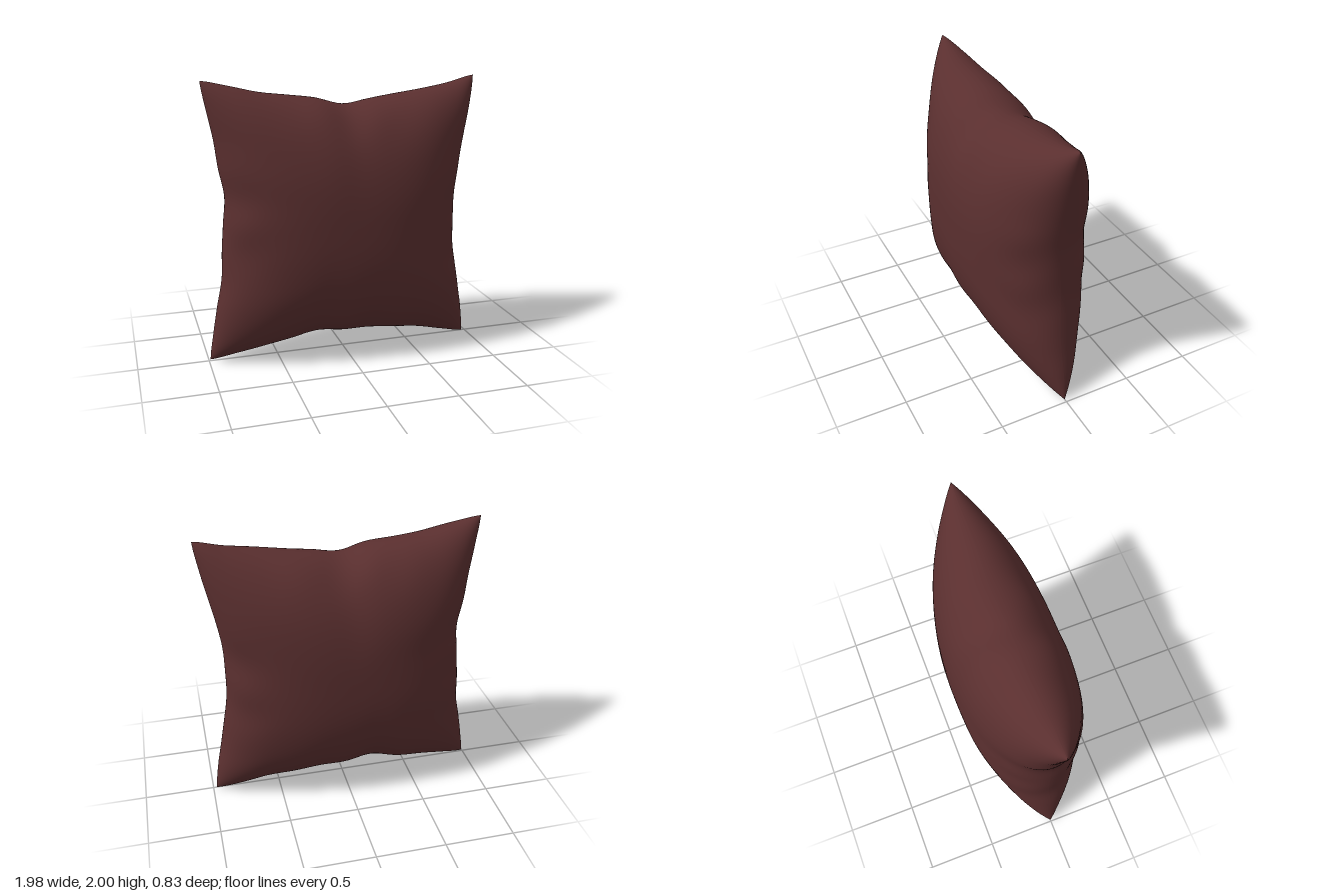
import * as THREE from 'three';

// Seam outline, sampled evenly along each edge (gathered inward mid-edge)
const edge = (vals) => {
  const c = new THREE.SplineCurve(vals.map((v, i) => new THREE.Vector2(i / (vals.length - 1), v)));
  return (t) => c.getPoint(t).y;
};
const topY = edge([1.995, 1.955, 1.91, 1.885, 1.86, 1.812, 1.84, 1.87, 1.9, 1.935, 1.985]);
const bottomY = edge([0.01, 0.05, 0.09, 0.125, 0.168, 0.15, 0.14, 0.12, 0.095, 0.045, 0]);
const leftX = edge([-0.99, -0.96, -0.925, -0.885, -0.875, -0.86, -0.845, -0.88, -0.905, -0.945, -0.98]);
const rightX = edge([0.975, 0.95, 0.91, 0.875, 0.845, 0.84, 0.845, 0.875, 0.915, 0.955, 0.985]);

// Rounded fall-off from the middle of the cushion to a seam
const swell = (u) => Math.sqrt(Math.max(0, 1 - Math.pow(Math.abs(u), 2.6)));

// Soft gathers that fan inward from the middle of each seam
function gather(across, along, phase) {
  const near = Math.exp(-Math.pow((1 - Math.abs(across)) / 0.2, 2));
  const mid = Math.exp(-Math.pow(along / 0.42, 2));
  return near * mid * Math.cos(along * 13 + phase + Math.sign(across));
}

// One padded face of the cushion; side is +1 for front, -1 for back
function panel(side) {
  const n = 80;
  const pos = [], index = [];
  for (let j = 0; j <= n; j++) {
    for (let i = 0; i <= n; i++) {
      // Rows crowd toward the seams, where the cloth turns fastest
      const u = Math.sin((i / n - 0.5) * Math.PI);
      const v = Math.sin((j / n - 0.5) * Math.PI);
      const s = (u + 1) / 2, t = (v + 1) / 2;
      const x = THREE.MathUtils.lerp(leftX(t), rightX(t), s);
      const y = THREE.MathUtils.lerp(bottomY(s), topY(s), t);
      const folds = gather(u, v, 0.6 * side) + gather(v, u, 1.5 + side);
      const wobble = 0.008 * (Math.sin(9 * u + 2) * (1 - u * u) * v * v + Math.sin(8 * v) * (1 - v * v) * u * u);
      const z = side * 0.416 * swell(u) * swell(v) * (1 + 0.07 * folds) + wobble;
      pos.push(x, y, z);
      if (i < n && j < n) {
        const a = j * (n + 1) + i, b = a + 1, c = a + n + 1, d = c + 1;
        if (side > 0) index.push(a, b, d, a, d, c);
        else index.push(a, d, b, a, c, d);
      }
    }
  }
  const g = new THREE.BufferGeometry();
  g.setAttribute('position', new THREE.Float32BufferAttribute(pos, 3));
  g.setIndex(index);
  g.computeVertexNormals();
  return g;
}

export function createModel() {
  const cloth = new THREE.MeshStandardMaterial({ color: 0x5a2f2f });
  cloth.name = 'maroonCloth';
  const cushion = new THREE.Group();
  cushion.name = 'cushion';
  for (const [name, side] of [['frontPanel', 1], ['backPanel', -1]]) {
    const mesh = new THREE.Mesh(panel(side), cloth);
    mesh.name = name;
    cushion.add(mesh);
  }
  return cushion;
}
